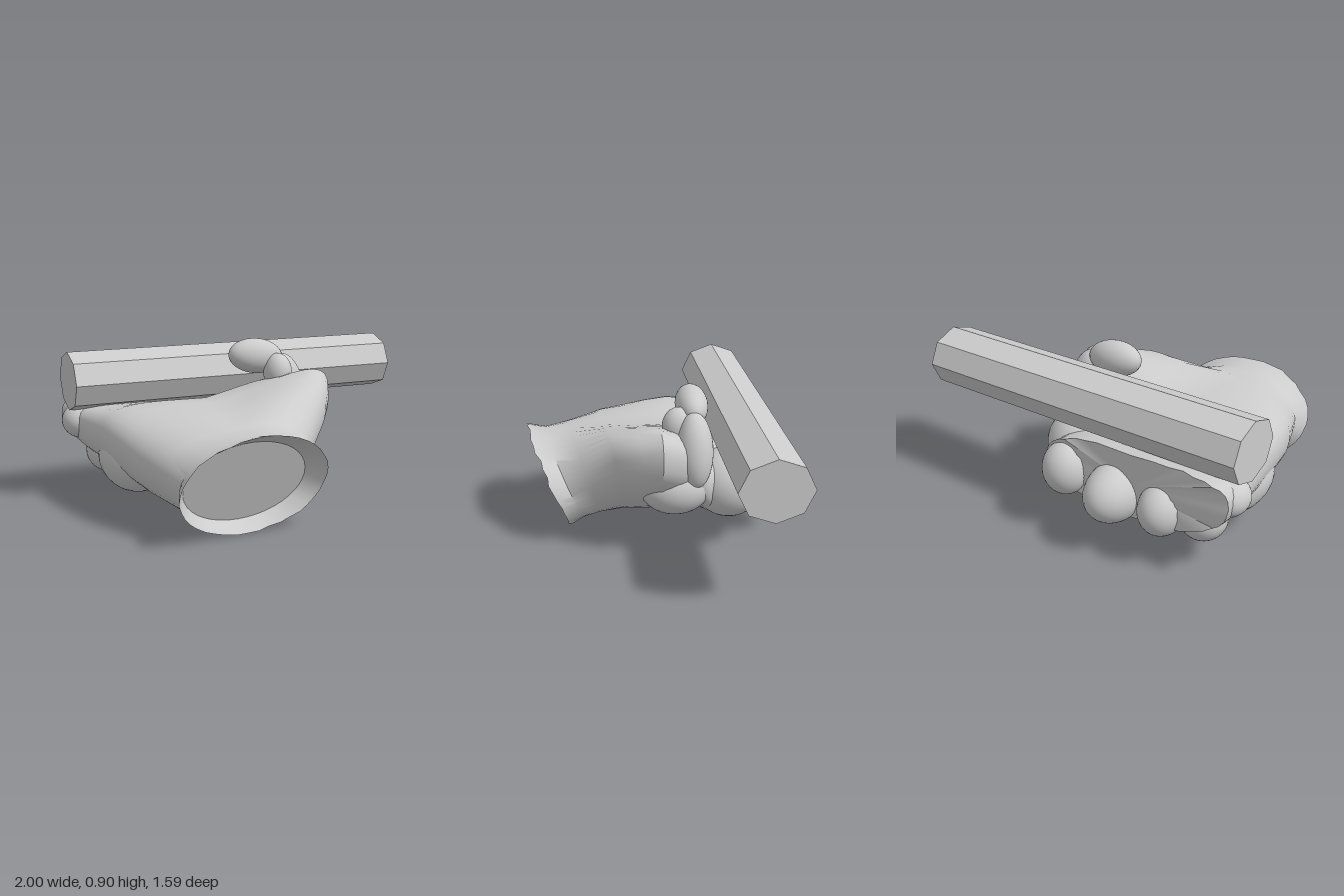
import * as THREE from 'three';
import { toCreasedNormals } from 'three/addons/utils/BufferGeometryUtils.js';

const SIDES = 40;

// Closed skin through cross-sections:
// [z, shear, yaw, cx, rx, cy, ry, thumbLift, outerLift, power, rag]
function loft(sections) {
  const pos = [], index = [];
  for (const [z, shear, yaw, cx, rx, cy, ry, thumbLift, outerLift, power, rag] of sections) {
    for (let j = 0; j < SIDES; j++) {
      const a = (j / SIDES) * Math.PI * 2, c = Math.cos(a), s = Math.sin(a);
      const u = Math.sign(c) * Math.abs(c) ** (2 / power);
      const v = Math.sign(s) * Math.abs(s) ** (2 / power);
      const dx = u * rx, dy = v * ry;
      const ragged = rag * Math.sin(j * 2.3) * Math.cos(j * 5.1);
      const lift = u > 0 ? thumbLift * u ** 1.2 : outerLift * u * u;
      pos.push(cx + dx, cy + dy + lift, z + shear * dy - yaw * dx + ragged);
    }
  }
  const n = sections.length;
  for (let i = 0; i < n - 1; i++) {
    for (let j = 0; j < SIDES; j++) {
      const k = (j + 1) % SIDES;
      const a = i * SIDES + j, b = i * SIDES + k, c = a + SIDES, d = b + SIDES;
      index.push(a, c, b, b, c, d);
    }
  }
  // end caps
  const first = sections[0], last = sections[n - 1], f = n * SIDES;
  pos.push(first[3], first[5], first[0], last[3], last[5], last[0]);
  for (let j = 0; j < SIDES; j++) {
    const k = (j + 1) % SIDES, o = (n - 1) * SIDES;
    index.push(f, j, k, f + 1, o + k, o + j);
  }
  const g = new THREE.BufferGeometry();
  g.setAttribute('position', new THREE.Float32BufferAttribute(pos, 3));
  g.setIndex(index);
  return toCreasedNormals(g, 0.7);
}

export function createModel() {
  const model = new THREE.Group();
  const grey = new THREE.MeshStandardMaterial({ color: 0xcccccc });
  grey.name = 'light grey';

  function add(name, geometry) {
    const mesh = new THREE.Mesh(geometry, grey);
    mesh.name = name;
    model.add(mesh);
    return mesh;
  }
  function blob(name, [x, y, z], [rx, ry, rz], tilt = 0) {
    const m = add(name, new THREE.SphereGeometry(1, 32, 20));
    m.position.set(x, y, z);
    m.scale.set(rx, ry, rz);
    m.rotation.z = tilt;
  }

  // Glove body: recessed wrist opening, flared cuff, palm, finger edge
  add('gloveBody', loft([
    [0.56, 0.4, 0.08, -0.32, 0.35, 0.285, 0.225, 0, 0, 2, 0],
    [0.67, 0.4, 0.09, -0.31, 0.42, 0.287, 0.28, 0, 0, 2, 0.012],
    [0.58, 0.4, 0.08, -0.31, 0.385, 0.297, 0.25, 0, 0, 2, 0],
    [0.46, 0.3, 0.04, -0.32, 0.43, 0.31, 0.25, 0.05, 0.02, 2.1, 0],
    [0.30, 0.2, 0, -0.27, 0.55, 0.335, 0.26, 0.2, 0.04, 2.3, 0],
    [0.17, 0.05, 0, -0.24, 0.61, 0.34, 0.26, 0.25, 0.06, 2.4, 0],
    [0.07, 0, 0, -0.225, 0.645, 0.345, 0.26, 0.28, 0.07, 2.5, 0],
    [-0.08, 0, 0, -0.28, 0.61, 0.35, 0.25, 0.2, 0.08, 2.6, 0],
    [-0.20, 0, 0, -0.31, 0.60, 0.345, 0.22, 0.05, 0.09, 2.6, 0],
    [-0.40, 0, 0, -0.37, 0.57, 0.34, 0.195, 0, 0.1, 2.6, 0],
    [-0.53, 0, 0, -0.40, 0.56, 0.37, 0.195, 0, 0.09, 2.6, 0],
    [-0.61, 0, 0, -0.41, 0.56, 0.40, 0.185, 0, 0.07, 2.5, 0.012],
  ]));

  // Thumb: base, column, web and tip
  blob('thumbBase', [0.19, 0.385, -0.02], [0.16, 0.155, 0.2]);
  blob('thumbColumn', [0.24, 0.61, -0.12], [0.11, 0.21, 0.1], 0.2);
  blob('thumbWeb', [0.15, 0.72, -0.04], [0.08, 0.11, 0.09]);
  blob('thumbTip', [0.05, 0.81, -0.125], [0.165, 0.1, 0.09], -0.12);

  // Curled fingers
  blob('indexFingerBase', [0.12, 0.37, -0.33], [0.195, 0.2, 0.205]);
  blob('indexFingertip', [0.025, 0.36, -0.595], [0.13, 0.15, 0.135]);
  blob('middleFingertip', [-0.29, 0.32, -0.58], [0.15, 0.16, 0.21]);
  blob('ringFingertip', [-0.57, 0.31, -0.56], [0.125, 0.145, 0.155]);
  blob('littleFingertip', [-0.74, 0.27, -0.45], [0.13, 0.13, 0.13]);
  blob('littleFingerKnuckle', [-0.89, 0.45, -0.47], [0.11, 0.1, 0.12]);
  blob('heelOfHand', [-0.7, 0.31, -0.08], [0.19, 0.19, 0.28]);

  // Eight-sided bar, slightly flattened
  const bar = new THREE.CylinderGeometry(1, 1, 1.975, 8).toNonIndexed();
  bar.rotateZ(Math.PI / 2);
  bar.scale(1, 0.165, 0.19);
  bar.computeVertexNormals();
  add('bar', bar).position.set(0.0125, 0.692, -0.4);

  return model;
}
